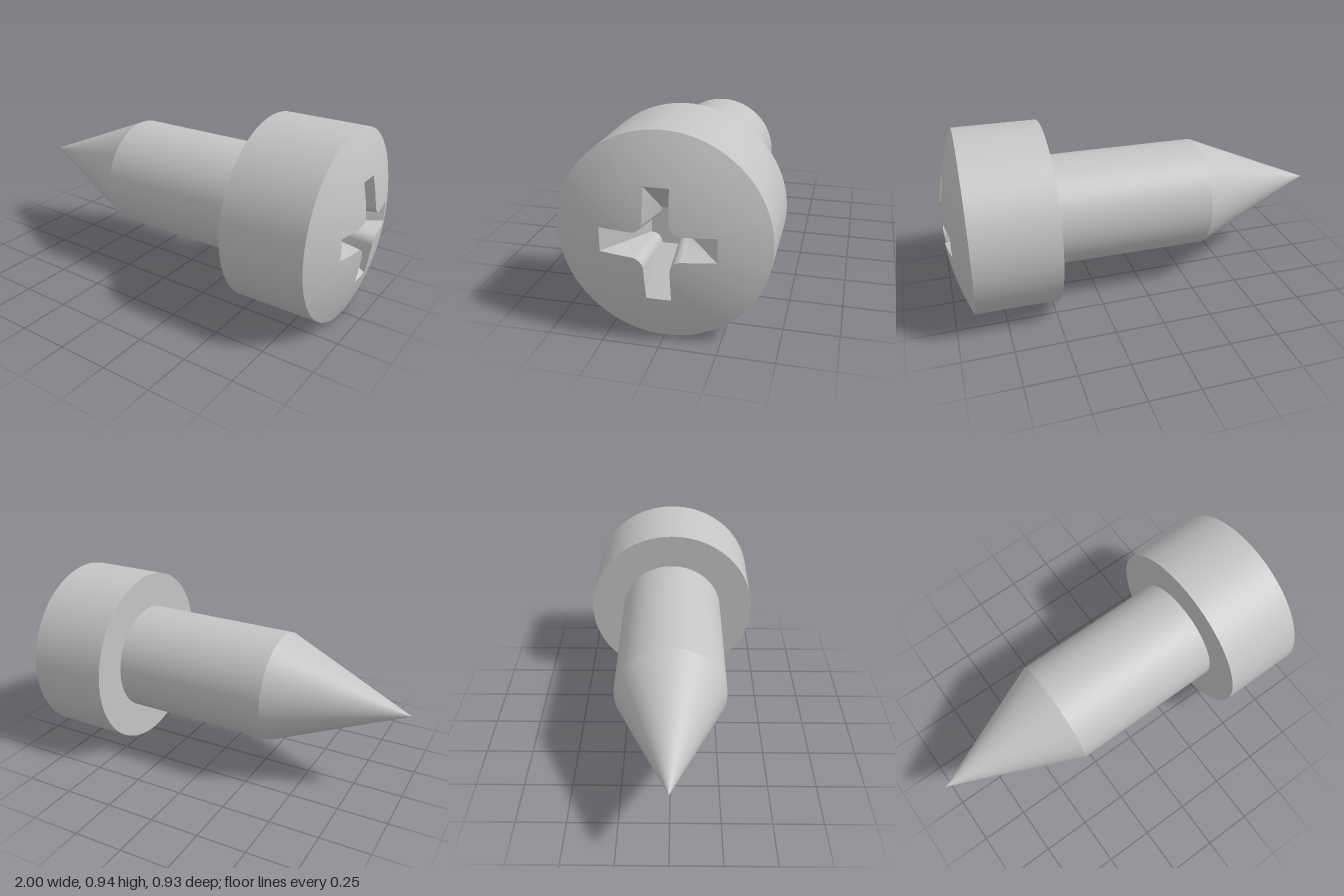
import * as THREE from 'three';
import { toCreasedNormals } from 'three/addons/utils/BufferGeometryUtils.js';

const HEAD_R = 0.467, RIM_X = 0.902, APEX_X = 1.003, FLOOR_X = 0.78;
const domeX = (r) => APEX_X - (APEX_X - RIM_X) * (r / HEAD_R) ** 2;

// Straight run of n points from a towards b, leaving out b
function run(a, b, n) {
  const out = [];
  for (let i = 0; i < n; i++) {
    const t = i / n;
    out.push([a[0] + (b[0] - a[0]) * t, a[1] + (b[1] - a[1]) * t]);
  }
  return out;
}

// Cross outline: arm length, half width at the arm end and root, start of the inner fillet
function cross(len, wEnd, wRoot, start) {
  const quarter = [
    ...run([len, -wEnd], [len, wEnd], 6),
    ...run([len, wEnd], [start, wRoot], 4),
  ];
  const r = start - wRoot;
  for (let i = 0; i < 8; i++) {
    const a = (i / 8) * Math.PI / 2;
    quarter.push([start - r * Math.sin(a), start - r * Math.cos(a)]);
  }
  // The fillet bulges towards the centre, so mirror it about its chord
  for (let i = 10; i < 18; i++) {
    const a = ((i - 10) / 8) * Math.PI / 2;
    quarter[i] = [start - r * Math.sin(a), wRoot + r * (1 - Math.cos(a))];
  }
  quarter.push(...run([wRoot, start], [wEnd, len], 4));
  const pts = [];
  for (let k = 0; k < 4; k++) {
    const c = Math.round(Math.cos(k * Math.PI / 2)), s = Math.round(Math.sin(k * Math.PI / 2));
    for (const [u, v] of quarter) pts.push([u * c - v * s, u * s + v * c]);
  }
  return pts;
}

// Skin a list of closed rings of [x, y, z] points, facing +x or into the ring
function loft(rings) {
  const n = rings[0].length, index = [];
  for (let j = 0; j < rings.length - 1; j++) {
    for (let i = 0; i < n; i++) {
      const a = j * n + i, b = j * n + (i + 1) % n;
      index.push(a, b, a + n, b, b + n, a + n);
    }
  }
  const g = new THREE.BufferGeometry();
  g.setAttribute('position', new THREE.Float32BufferAttribute(rings.flat(2), 3));
  g.setIndex(index);
  g.computeVertexNormals();
  return g;
}

// Turned part along x from [x, radius] points, listed from the tip end
function turned(points) {
  const g = new THREE.LatheGeometry(points.map(([x, r]) => new THREE.Vector2(r, x)), 88);
  g.rotateZ(-Math.PI / 2);
  return toCreasedNormals(g, 0.35);
}

export function createModel() {
  const steel = new THREE.MeshStandardMaterial({ color: 0xc4c4c4 });
  steel.name = 'steel grey';
  const model = new THREE.Group();
  model.name = 'screw';
  const add = (name, geometry) => {
    const mesh = new THREE.Mesh(geometry, steel);
    mesh.name = name;
    model.add(mesh);
  };

  // Pointed tip, plain shank and the cylindrical part of the head
  add('tip', turned([[-1, 0], [-0.33, 0.283]]));
  add('shank', turned([[-0.33, 0.283], [0.484, 0.283]]));
  add('headSide', turned([[0.484, 0.283], [0.484, HEAD_R], [RIM_X, HEAD_R]]));

  // Domed face, running from the rim in to the cross-shaped opening
  const mouth = cross(0.25, 0.054, 0.056, 0.108);
  const rings = [];
  for (let j = 0; j <= 8; j++) {
    rings.push(mouth.map(([u, v]) => {
      const r0 = Math.hypot(u, v), r = HEAD_R + (r0 - HEAD_R) * j / 8;
      return [domeX(r), u * r / r0, v * r / r0];
    }));
  }
  add('headDome', loft(rings));

  // Sloping walls of the driver recess
  const base = cross(0.083, 0.036, 0.037, 0.08);
  const floorRing = base.map(([u, v]) => [FLOOR_X, u, v]);
  add('recessWalls', toCreasedNormals(loft([rings[8], floorRing]), 0.5));

  // Flat floor of the recess
  const floor = new THREE.ShapeGeometry(new THREE.Shape(base.map(([u, v]) => new THREE.Vector2(-v, u))));
  floor.rotateY(Math.PI / 2);
  floor.translate(FLOOR_X, 0, 0);
  add('recessFloor', floor);

  // The axis lies almost level, rising slightly towards the head
  model.rotation.z = 0.0083;
  model.position.y = 0.464;
  const group = new THREE.Group();
  group.name = 'screwModel';
  group.add(model);
  return group;
}
